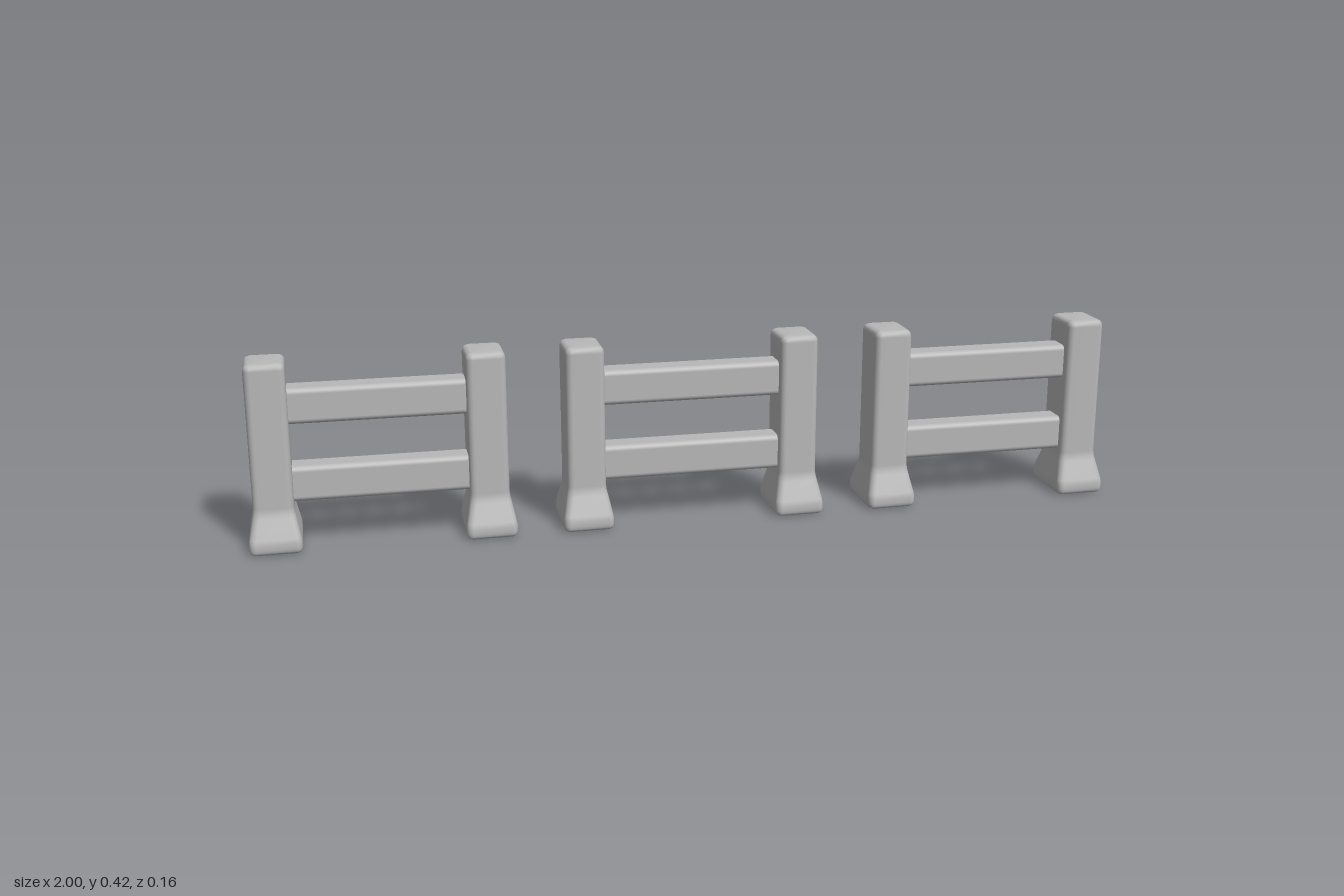
import * as THREE from 'three';
import { RoundedBoxGeometry } from 'three/addons/geometries/RoundedBoxGeometry.js';

const stone = new THREE.MeshStandardMaterial({ color: 0xb8b8b8 });
stone.name = 'grey';

// Post profile from the ground up: [height, half width, half depth, corner radius]
const PROFILE = [
  [0, 0.043, 0.066, 0.004],
  [0.001, 0.049, 0.072, 0.008],
  [0.004, 0.054, 0.077, 0.011],
  [0.008, 0.056, 0.079, 0.013],
  [0.014, 0.057, 0.08, 0.014],
  [0.026, 0.057, 0.08, 0.014],
  [0.036, 0.0555, 0.077, 0.014],
  [0.078, 0.047, 0.06, 0.014],
  [0.088, 0.045, 0.0565, 0.014],
  [0.1, 0.044, 0.0545, 0.014],
  [0.407, 0.044, 0.0545, 0.014],
  [0.414, 0.0425, 0.053, 0.013],
  [0.419, 0.039, 0.0495, 0.01],
  [0.422, 0.031, 0.0415, 0.004],
];
const STEPS = 4; // segments per rounded corner

// Loft of rounded rectangles, closed at both ends
function postGeometry() {
  const n = 4 * (STEPS + 1);
  const pos = [];
  const index = [];
  for (const [y, hx, hz, r] of PROFILE) {
    for (let c = 0; c < 4; c++) {
      const sx = c === 0 || c === 3 ? 1 : -1;
      const sz = c < 2 ? 1 : -1;
      for (let s = 0; s <= STEPS; s++) {
        const a = (c + s / STEPS) * Math.PI / 2;
        pos.push(sx * (hx - r) + r * Math.cos(a), y, sz * (hz - r) + r * Math.sin(a));
      }
    }
  }
  const last = PROFILE.length - 1;
  const bottom = pos.length / 3;
  const top = bottom + 1;
  pos.push(0, 0, 0, 0, PROFILE[last][0], 0);
  for (let i = 0; i < n; i++) {
    const k = (i + 1) % n;
    for (let j = 0; j < last; j++) {
      const a = j * n + i, b = j * n + k;
      index.push(a, a + n, b, b, a + n, b + n);
    }
    index.push(bottom, i, k, top, last * n + k, last * n + i);
  }
  const g = new THREE.BufferGeometry();
  g.setAttribute('position', new THREE.Float32BufferAttribute(pos, 3));
  g.setIndex(index);
  g.computeVertexNormals();
  return g;
}

// One fence section: two posts joined by two rails
function fenceSection(name, x1, x2, postGeo) {
  const group = new THREE.Group();
  group.name = name;
  const add = (geo, part, x, y) => {
    const mesh = new THREE.Mesh(geo, stone);
    mesh.name = part;
    mesh.position.set(x, y, 0);
    group.add(mesh);
  };
  add(postGeo, 'rightPost', x1, 0);
  add(postGeo, 'leftPost', x2, 0);
  const railGeo = new RoundedBoxGeometry(x2 - x1 - 0.06, 0.08, 0.066, 3, 0.012);
  add(railGeo, 'lowerRail', (x1 + x2) / 2, 0.144);
  add(railGeo, 'upperRail', (x1 + x2) / 2, 0.32);
  return group;
}

export function createModel() {
  const model = new THREE.Group();
  model.name = 'fence';
  const postGeo = postGeometry();
  model.add(
    fenceSection('rightSection', -0.943, -0.472, postGeo),
    fenceSection('middleSection', -0.253, 0.241, postGeo),
    fenceSection('leftSection', 0.466, 0.943, postGeo),
  );
  return model;
}
